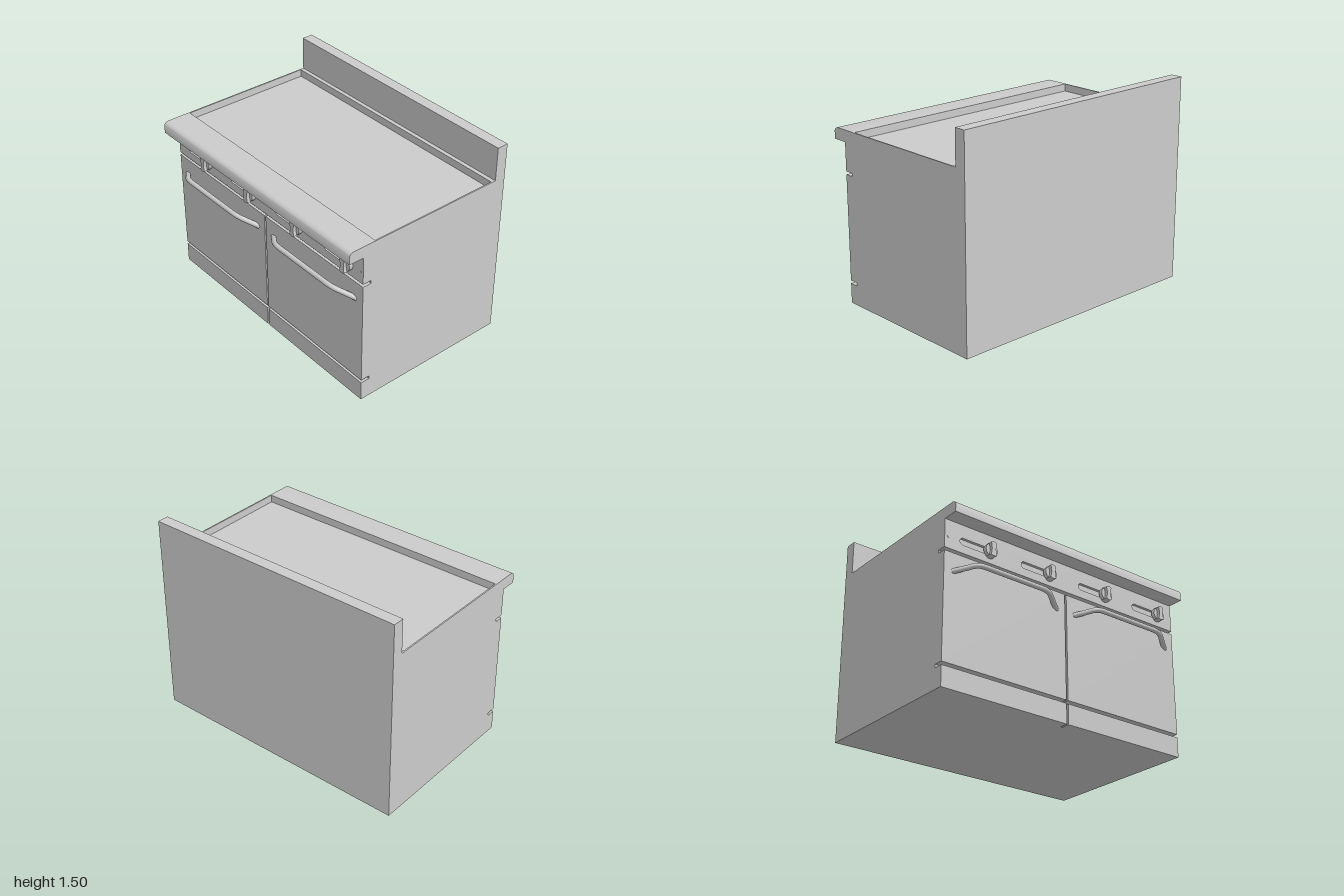
import * as THREE from 'three';
import { toCreasedNormals } from 'three/addons/utils/BufferGeometryUtils.js';

const BACK = -0.665, BODY_FRONT = 0.487, FACE = 0.553, TOP = 1.25, KNOB_Y = 1.045;
const material = new THREE.MeshStandardMaterial({ color: 0xcccccc });

function add(parent, name, geometry) {
  const mesh = new THREE.Mesh(geometry, material);
  mesh.name = name;
  parent.add(mesh);
  return mesh;
}

// Box given by its minimum and maximum corners
function slab(parent, name, x0, x1, y0, y1, z0, z1) {
  const g = new THREE.BoxGeometry(x1 - x0, y1 - y0, z1 - z0);
  g.translate((x0 + x1) / 2, (y0 + y1) / 2, (z0 + z1) / 2);
  return add(parent, name, g);
}

function rectangle(Type, x0, x1, y0, y1) {
  return new Type([[x0, y0], [x1, y0], [x1, y1], [x0, y1]].map(p => new THREE.Vector2(...p)));
}

function extrude(shape, depth, curveSegments = 12) {
  const g = new THREE.ExtrudeGeometry(shape, { depth, curveSegments, bevelEnabled: false });
  return toCreasedNormals(g, 0.6);
}

// Cabinet with a sunken griddle plate and upright splash guard
function addBody(group) {
  const floor = TOP - 0.055;
  slab(group, 'cabinet', -1, 1, 0, floor, BACK, BODY_FRONT);
  const rim = rectangle(THREE.Shape, -1, 1, BACK, BODY_FRONT);
  rim.holes.push(rectangle(THREE.Path, -0.99, 0.99, -0.55, 0.455));
  add(group, 'griddleRim', extrude(rim, TOP - floor).rotateX(Math.PI / 2).translate(0, TOP, 0));
  slab(group, 'splashGuard', -1, 1, TOP, 1.5, BACK, -0.58);
}

// Front rail with a rounded upper edge, drawn in (z, y)
function addFrontRail(group) {
  const s = new THREE.Shape();
  s.moveTo(BODY_FRONT, 1.165);
  s.lineTo(0.667, 1.165);
  s.lineTo(0.667, 1.222);
  s.quadraticCurveTo(0.662, 1.245, 0.635, TOP);
  s.lineTo(BODY_FRONT, TOP);
  add(group, 'frontRail', extrude(s, 2).rotateY(-Math.PI / 2).translate(1, 0, 0));
}

// Control panel with a rounded slot beside every knob
function addControlPanel(group, knobXs) {
  const depth = 0.02;
  slab(group, 'controlPanelBack', -1, 1, 0.96, 1.165, BODY_FRONT, FACE - depth);
  const s = rectangle(THREE.Shape, -1, 1, 0.96, 1.165);
  for (const x of knobXs) {
    const r = 0.025, slot = new THREE.Path();
    slot.moveTo(x, KNOB_Y - r);
    slot.lineTo(x - 0.21, KNOB_Y - r);
    slot.absarc(x - 0.21, KNOB_Y, r, -Math.PI / 2, Math.PI / 2, true);
    slot.lineTo(x, KNOB_Y + r);
    slot.closePath();
    s.holes.push(slot);
  }
  add(group, 'controlPanel', extrude(s, depth).translate(0, 0, FACE - depth));
  for (const x of [-0.972, 0.972]) {
    add(group, 'panelScrew', new THREE.CylinderGeometry(0.009, 0.009, 0.004, 16)
      .rotateX(Math.PI / 2).translate(x, KNOB_Y, FACE));
  }
}

// Round knob with a waisted grip bar
function addKnob(group, x) {
  const knob = new THREE.Group();
  knob.name = 'knob';
  knob.position.set(x, KNOB_Y, FACE);
  add(knob, 'knobDisc', new THREE.CylinderGeometry(0.047, 0.047, 0.028, 32)
    .rotateX(Math.PI / 2).translate(0, 0, 0.014));
  const s = new THREE.Shape();
  s.moveTo(-0.024, -0.044);
  s.quadraticCurveTo(0, -0.06, 0.024, -0.044);
  s.quadraticCurveTo(0.008, 0, 0.024, 0.044);
  s.quadraticCurveTo(0, 0.06, -0.024, 0.044);
  s.quadraticCurveTo(-0.008, 0, -0.024, -0.044);
  add(knob, 'knobGrip', extrude(s, 0.052));
  group.add(knob);
}

// Bent bar handle rising out of the door
function addHandle(group, centre) {
  const v = (x, y, z) => new THREE.Vector3(centre + x, y, z);
  const path = new THREE.CurvePath();
  const bend = side => [v(side * 0.335, 0.843, 0.606), v(side * 0.295, 0.863, 0.638), v(side * 0.235, 0.863, 0.638)];
  const a = bend(-1), b = bend(1).reverse();
  path.add(new THREE.LineCurve3(v(-0.43, 0.806, 0.542), a[0]));
  path.add(new THREE.QuadraticBezierCurve3(...a));
  path.add(new THREE.LineCurve3(a[2], b[0]));
  path.add(new THREE.QuadraticBezierCurve3(...b));
  path.add(new THREE.LineCurve3(b[2], v(0.43, 0.806, 0.542)));
  add(group, 'doorHandle', new THREE.TubeGeometry(path, 72, 0.018, 16));
}

export function createModel() {
  const group = new THREE.Group();
  group.name = 'griddleRange';
  const knobXs = [-0.645, -0.145, 0.355, 0.855];
  addBody(group);
  addFrontRail(group);
  addControlPanel(group, knobXs);
  knobXs.forEach(x => addKnob(group, x));

  // Paired doors, handles and kick plates
  for (const side of [-1, 1]) {
    const x0 = side < 0 ? -1 : 0.007, x1 = side < 0 ? -0.007 : 1;
    slab(group, 'ovenDoor', x0, x1, 0.168, 0.938, BODY_FRONT, FACE);
    slab(group, 'kickPlate', x0, x1, 0, 0.145, BODY_FRONT, FACE);
    addHandle(group, side * 0.503);
  }
  return group;
}
